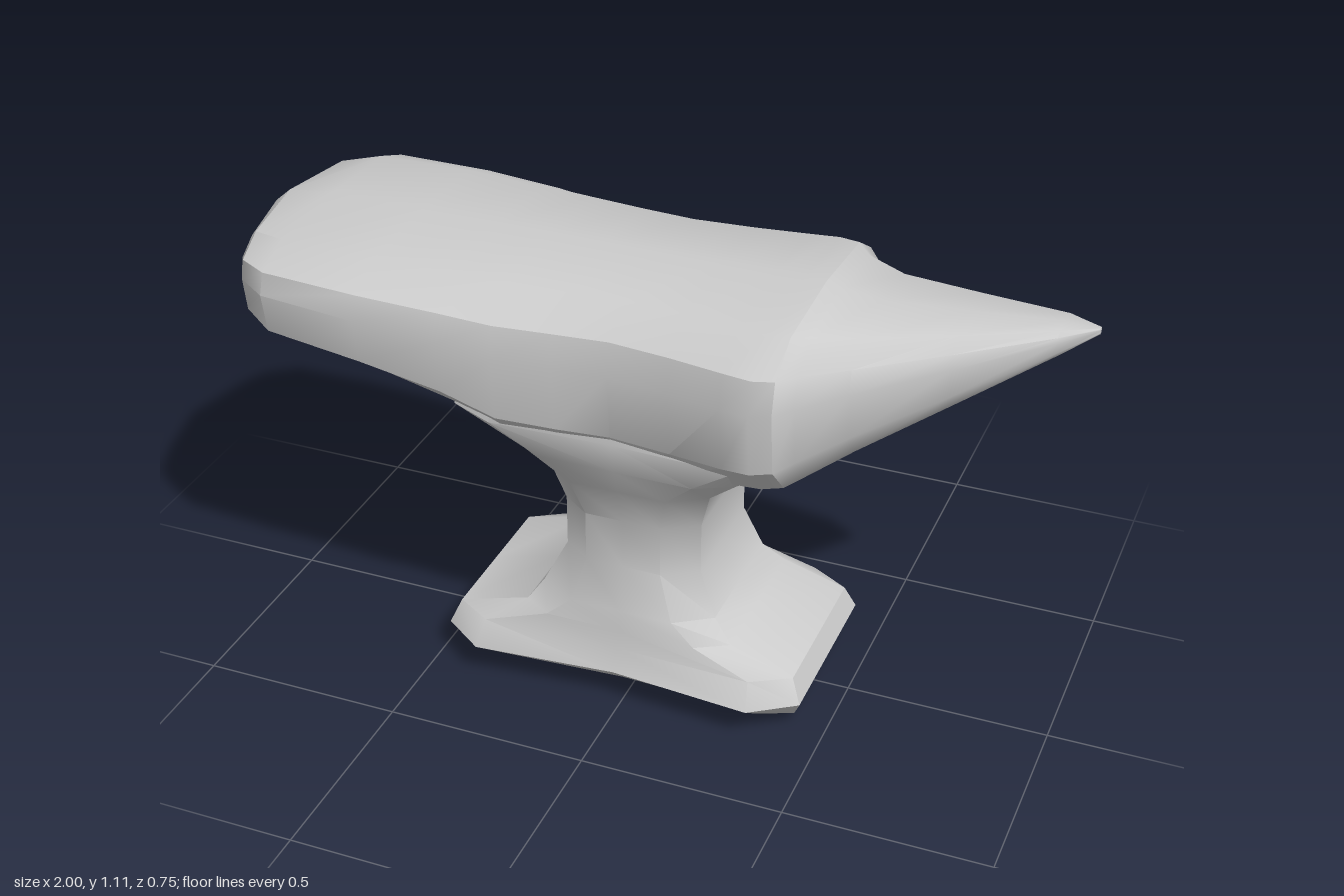
import * as THREE from 'three';
import { mergeVertices, toCreasedNormals } from 'three/addons/utils/BufferGeometryUtils.js';

const material = new THREE.MeshStandardMaterial({ color: 0xcccccc });

// Skin a list of closed rings (arrays of [x, y, z]) and cap both ends
function loft(name, rings, crease) {
  const n = rings[0].length;
  const positions = rings.flat(2);
  const index = [];
  for (let i = 0; i < rings.length - 1; i++) {
    for (let j = 0; j < n; j++) {
      const a = i * n + j, b = i * n + (j + 1) % n;
      index.push(a, b, a + n, b, b + n, a + n);
    }
  }
  [0, rings.length - 1].forEach((r, end) => {
    const centre = positions.length / 3;
    for (let k = 0; k < 3; k++) positions.push(rings[r].reduce((s, p) => s + p[k], 0) / n);
    for (let j = 0; j < n; j++) {
      const a = r * n + j, b = r * n + (j + 1) % n;
      if (end) index.push(centre, a, b);
      else index.push(centre, b, a);
    }
  });
  const geometry = new THREE.BufferGeometry();
  geometry.setAttribute('position', new THREE.Float32BufferAttribute(positions, 3));
  geometry.setIndex(index);
  const mesh = new THREE.Mesh(toCreasedNormals(mergeVertices(geometry), crease), material);
  mesh.name = name;
  return mesh;
}

// Half outline of the head: [share of half width, share of depth below the top]
const outline = [[0, 0], [0.68, 0.045], [0.95, 0.19], [1, 0.38], [0.95, 0.76], [0.72, 0.97], [0, 1]];
const fullOutline = [...outline, ...outline.slice(1, -1).reverse().map(([w, d]) => [-w, d])];

// Section across x; bow pulls the sides back from the end
function headRing([x, halfWidth, top, bottom, z = 0, bow = 0]) {
  return fullOutline.map(([w, d]) => [
    x + bow * Math.abs(w), top - d * (top - bottom), z + w * halfWidth,
  ]);
}

// Section across y: chamfered block with a slight waist at the middle of the long sides
function standRing([y, xL, xR, endHalf, cL, cR, halfDepth, waist]) {
  const mid = (cL + cR) / 2;
  return [
    [xR, endHalf], [xR, 0], [xR, -endHalf], [cR, -halfDepth], [mid, -waist], [cL, -halfDepth],
    [xL, -endHalf], [xL, 0], [xL, endHalf], [cL, halfDepth], [mid, waist], [cR, halfDepth],
  ].map(([x, z]) => [x, y, z]);
}

export function createModel() {
  const group = new THREE.Group();
  group.name = 'anvil';

  // Head: x, half width, top, bottom, z, bow
  const head = [
    [-1, 0.26, 1.06, 0.91, 0, 0.05],
    [-0.96, 0.31, 1.095, 0.87, 0, 0.04],
    [-0.84, 0.365, 1.11, 0.845],
    [-0.6, 0.375, 1.11, 0.81],
    [-0.4, 0.365, 1.11, 0.755],
    [-0.27, 0.352, 1.11, 0.69],
    [-0.13, 0.333, 1.11, 0.68],
    [0, 0.32, 1.11, 0.68],
    [0.15, 0.337, 1.11, 0.68],
    [0.28, 0.36, 1.11, 0.685],
    [0.35, 0.373, 1.11, 0.695],
    [0.4, 0.36, 1.11, 0.705],
  ].map(headRing);
  group.add(loft('head', head, 0.6));

  // Horn, swept a little towards the back
  const horn = [
    [0.4, 0.36, 1.11, 0.705, 0],
    [0.435, 0.31, 1.098, 0.72, 0],
    [0.53, 0.24, 1.08, 0.775, -0.015],
    [0.72, 0.155, 1.073, 0.885, -0.052],
    [0.92, 0.065, 1.067, 1.0, -0.094],
    [1, 0.008, 1.062, 1.048, -0.1],
  ].map(headRing);
  group.add(loft('horn', horn, 0.8));

  // Base and waist: y, left x, right x, end half depth, corner xs, half depth, middle half depth
  const stand = [
    [0, -0.37, 0.33, 0.005, -0.33, 0.3, 0.01, 0.01],
    [0.03, -0.45, 0.42, 0.18, -0.37, 0.335, 0.215, 0.2],
    [0.09, -0.475, 0.445, 0.22, -0.37, 0.335, 0.295, 0.265],
    [0.15, -0.45, 0.42, 0.2, -0.36, 0.325, 0.255, 0.245],
    [0.2, -0.27, 0.26, 0.195, -0.2, 0.18, 0.24, 0.24],
    [0.25, -0.235, 0.21, 0.17, -0.14, 0.12, 0.23, 0.23],
    [0.36, -0.18, 0.165, 0.15, -0.11, 0.08, 0.2, 0.2],
    [0.49, -0.18, 0.165, 0.15, -0.11, 0.08, 0.2, 0.2],
    [0.6, -0.2, 0.2, 0.19, -0.13, 0.11, 0.245, 0.245],
    [0.68, -0.27, 0.28, 0.24, -0.19, 0.19, 0.285, 0.285],
    [0.76, -0.41, 0.39, 0.26, -0.3, 0.3, 0.31, 0.3],
    [0.82, -0.41, 0.39, 0.24, -0.3, 0.3, 0.29, 0.28],
  ].map(standRing);
  group.add(loft('baseAndWaist', stand, 0.7));

  return group;
}
